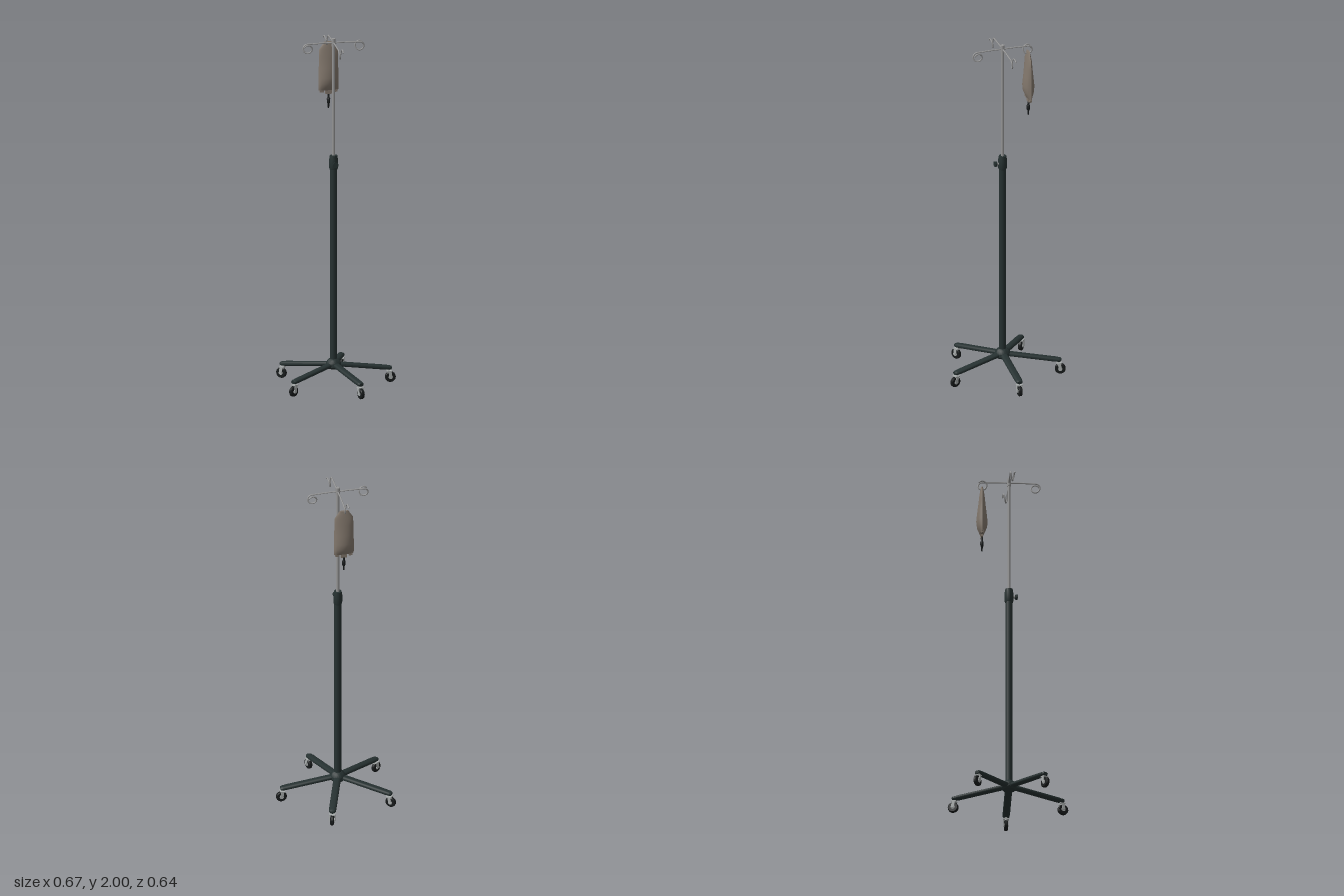
import * as THREE from 'three';
import { toCreasedNormals } from 'three/addons/utils/BufferGeometryUtils.js';

const paint = (name, color) => {
  const m = new THREE.MeshStandardMaterial({ color });
  m.name = name;
  return m;
};

export function createModel() {
  const darkFrame = paint('dark green frame', 0x263131);
  const steel = paint('brushed steel', 0x969696);
  const rubber = paint('black rubber', 0x181b1c);
  const forkMetal = paint('light fork metal', 0xa9adad);
  const bagSkin = paint('taupe bag', 0x82776c);

  const root = new THREE.Group();
  root.name = 'dripStand';
  const stand = new THREE.Group();
  stand.name = 'stand';
  stand.position.z = -0.03;
  root.add(stand);

  const add = (parent, name, geo, mat, x = 0, y = 0, z = 0) => {
    const mesh = new THREE.Mesh(geo, mat);
    mesh.name = name;
    mesh.position.set(x, y, z);
    parent.add(mesh);
    return mesh;
  };
  const rod = (parent, name, mat, r0, r1, y0, y1, sides = 16) =>
    add(parent, name, new THREE.CylinderGeometry(r1, r0, y1 - y0, sides), mat, 0, (y0 + y1) / 2, 0);
  const lathe = (pts, sides) =>
    toCreasedNormals(new THREE.LatheGeometry(pts.map(p => new THREE.Vector2(...p)), sides), 0.6);
  const spoke = (name, angle) => {
    const g = new THREE.Group();
    g.name = name;
    g.rotation.y = angle;
    stand.add(g);
    return g;
  };

  // Telescopic pole
  rod(stand, 'lowerPole', darkFrame, 0.02, 0.02, 0.1, 1.26);
  rod(stand, 'upperPole', steel, 0.009, 0.009, 1.25, 1.96, 12);
  rod(stand, 'topCap', steel, 0.0115, 0.0115, 1.955, 2.0, 8);
  add(stand, 'collar', lathe([[0, 1.245], [0.022, 1.245], [0.025, 1.255], [0.025, 1.3],
    [0.021, 1.325], [0, 1.325]], 16), darkFrame);

  // Clamp knob on the collar
  const knob = spoke('clampKnob', 1.02);
  add(knob, 'knobStem', new THREE.CylinderGeometry(0.007, 0.007, 0.02, 8).rotateX(Math.PI / 2), steel, 0, 1.28, 0.03);
  add(knob, 'knobGrip', new THREE.CylinderGeometry(0.017, 0.014, 0.014, 8).rotateX(Math.PI / 2), darkFrame, 0, 1.28, 0.041);

  // Base hub
  add(stand, 'hub', lathe([[0, 0.098], [0.035, 0.098], [0.043, 0.108], [0.043, 0.128],
    [0.032, 0.145], [0.022, 0.152], [0, 0.152]], 20), darkFrame);

  // Five legs with casters, each reaching along its own +z
  for (let i = 0; i < 5; i++) {
    const leg = spoke('leg', i * Math.PI * 2 / 5);
    const beamGeo = lathe([[0, 0], [0.021, 0], [0.021, 0.275], [0.0195, 0.285], [0.0195, 0.298],
      [0.014, 0.308], [0, 0.308]], 14);
    const beam = add(leg, 'legBeam', beamGeo.rotateX(Math.PI / 2).scale(1, 0.65, 1), darkFrame, 0, 0.12, 0.02);
    beam.rotation.x = 0.125;

    add(leg, 'casterStem', new THREE.CylinderGeometry(0.008, 0.008, 0.024, 10), forkMetal, 0, 0.068, 0.308);
    add(leg, 'forkCrown', new THREE.BoxGeometry(0.034, 0.005, 0.028), forkMetal, 0, 0.0645, 0.314);
    const tire = lathe([[0, -0.01], [0.026, -0.01], [0.03, -0.006], [0.03, 0.006], [0.026, 0.01], [0, 0.01]], 20);
    add(leg, 'casterWheel', tire.rotateZ(Math.PI / 2), rubber, 0, 0.03, 0.32);
    add(leg, 'wheelHub', new THREE.CylinderGeometry(0.012, 0.012, 0.024, 12).rotateZ(Math.PI / 2), forkMetal, 0, 0.03, 0.32);
    for (const s of [-1, 1]) {
      const plate = add(leg, 'forkPlate', new THREE.BoxGeometry(0.004, 0.043, 0.017), forkMetal, s * 0.015, 0.046, 0.318);
      plate.rotation.x = -0.15;
    }
  }

  // Four arms, each ending in a sideways pigtail loop
  const bagAngle = 0.95 + Math.PI;
  const path = [[0, 1.975, 0], [0, 1.976, 0.05], [0, 1.975, 0.1], [0, 1.974, 0.13]]
    .map(p => new THREE.Vector3(...p));
  const turns = 20;
  for (let i = 0; i <= turns; i++) {
    const t = i / turns, a = 0.1 + t * 7.1;
    path.push(new THREE.Vector3(0.024 * t * t * (3 - 2 * t),
      1.949 + 0.0245 * Math.cos(a), 0.148 + 0.0235 * Math.sin(a)));
  }
  const hookGeo = new THREE.TubeGeometry(new THREE.CatmullRomCurve3(path), 72, 0.0042, 8);
  for (let i = 0; i < 4; i++) {
    const arm = spoke('hookArm', bagAngle + i * Math.PI / 2);
    add(arm, 'hook', hookGeo, steel);
    const tip = path[path.length - 1];
    add(arm, 'hookTip', new THREE.SphereGeometry(0.0045, 8, 6), steel, tip.x, tip.y, tip.z);
  }

  // Fluid bag: rows of height, half width, half thickness
  const bag = spoke('fluidBag', bagAngle);
  const rows = [[1.94, 0.026, 0.006], [1.925, 0.034, 0.009], [1.895, 0.053, 0.014], [1.85, 0.054, 0.019],
    [1.79, 0.055, 0.026], [1.735, 0.057, 0.032], [1.70, 0.057, 0.028], [1.675, 0.057, 0.017], [1.66, 0.055, 0.009]];
  const skin = new THREE.CylinderGeometry(1, 1, 1, 16, rows.length - 1);
  const pos = skin.attributes.position;
  for (let i = 0; i < pos.count; i++) {
    const [y, w, d] = rows[Math.round((0.5 - pos.getY(i)) * (rows.length - 1))];
    const x = pos.getX(i), z = pos.getZ(i);
    pos.setXYZ(i, x * w, y, z * Math.abs(z) ** 0.3 * d);
  }
  add(bag, 'bagBody', toCreasedNormals(skin, 0.8), bagSkin, 0, 0, 0.15);
  // Sealed seam tabs along the bottom edge
  for (const [x, w, h] of [[-0.038, 0.022, 0.016], [0, 0.036, 0.026], [0.038, 0.022, 0.016]])
    add(bag, 'bottomTab', new THREE.BoxGeometry(w, h, 0.012), bagSkin, x, 1.664 - h / 2, 0.15);
  // Outlet port
  add(bag, 'outletPort', lathe([[0, 1.553], [0.004, 1.555], [0.005, 1.58], [0.009, 1.587], [0.01, 1.61],
    [0.006, 1.617], [0.006, 1.645], [0, 1.645]], 10), rubber, 0, 0, 0.15);

  return root;
}
